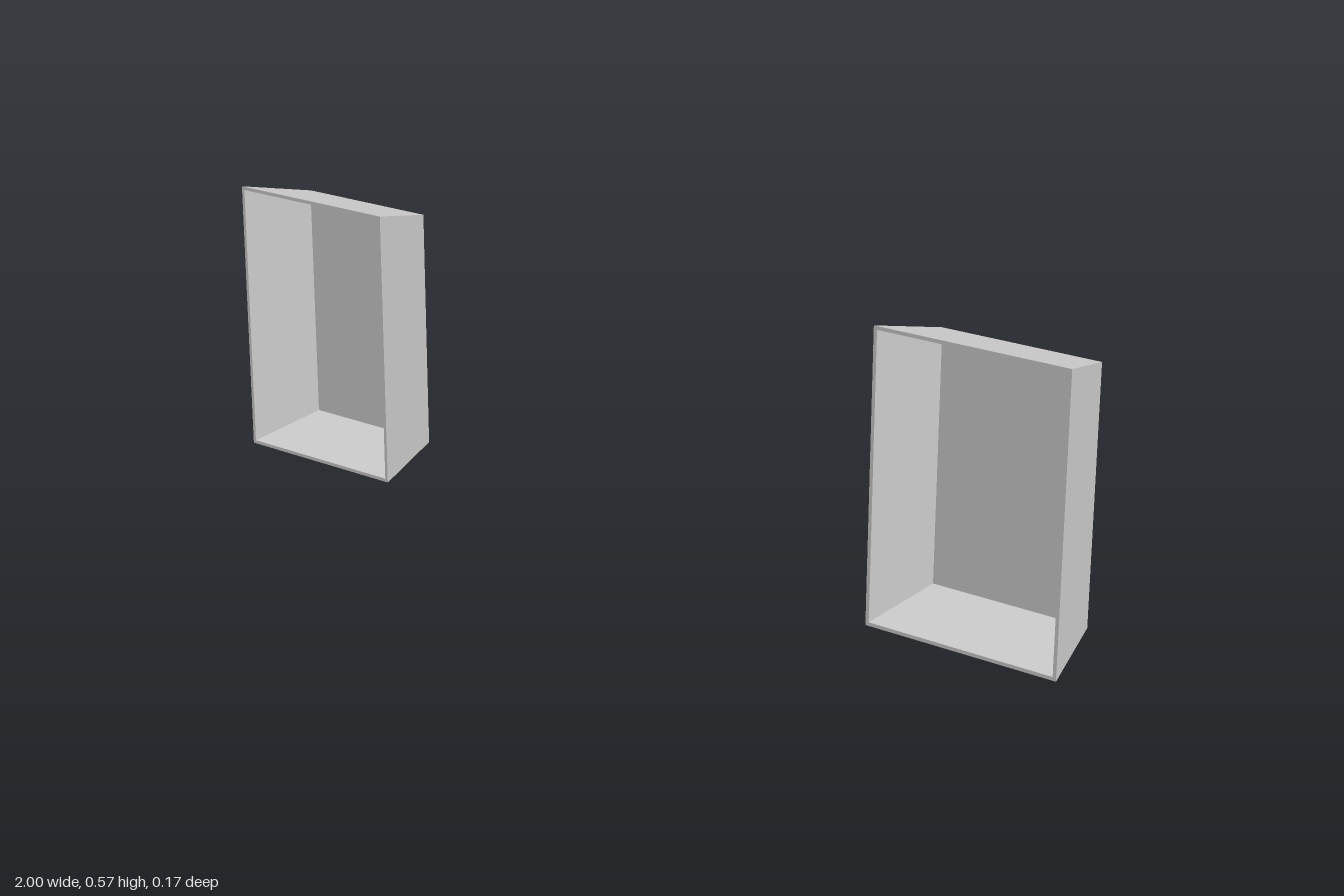
import * as THREE from 'three';

const FRONT_W = 0.4, FRONT_H = 0.571, HALF_D = 0.083;
const TAPER = 0.036; // inset of the back panel on every side
const WALL = 0.007;

// Rectangular cross-section, counter-clockwise seen from the front
function ring(inset, z) {
  const x = FRONT_W / 2 - inset, y0 = inset, y1 = FRONT_H - inset;
  return [[-x, y0, z], [x, y0, z], [x, y1, z], [-x, y1, z]];
}

// Open tapered tray: outer walls, rim, inner walls, floor and back
function trayGeometry() {
  const innerInset = TAPER * (1 - WALL / (2 * HALF_D)) + WALL;
  const rings = [
    ring(TAPER, -HALF_D),
    ring(0, HALF_D),
    ring(WALL, HALF_D),
    ring(innerInset, -HALF_D + WALL),
  ];
  const pos = [];
  const quad = (a, b, c, d) => pos.push(...a, ...b, ...c, ...a, ...c, ...d);
  for (let r = 0; r < 3; r++) {
    for (let i = 0; i < 4; i++) {
      const j = (i + 1) % 4;
      quad(rings[r][i], rings[r][j], rings[r + 1][j], rings[r + 1][i]);
    }
  }
  quad(...rings[3]);
  quad(...[...rings[0]].reverse());
  const geometry = new THREE.BufferGeometry();
  geometry.setAttribute('position', new THREE.Float32BufferAttribute(pos, 3));
  geometry.computeVertexNormals();
  return geometry;
}

export function createModel() {
  const group = new THREE.Group();
  group.name = 'trayPair';
  const geometry = trayGeometry();
  const material = new THREE.MeshStandardMaterial({ color: 0xcccccc, flatShading: true });
  for (const [name, side] of [['leftTray', 1], ['rightTray', -1]]) {
    const tray = new THREE.Mesh(geometry, material);
    tray.name = name;
    tray.position.x = side * (1 - FRONT_W / 2);
    group.add(tray);
  }
  return group;
}
